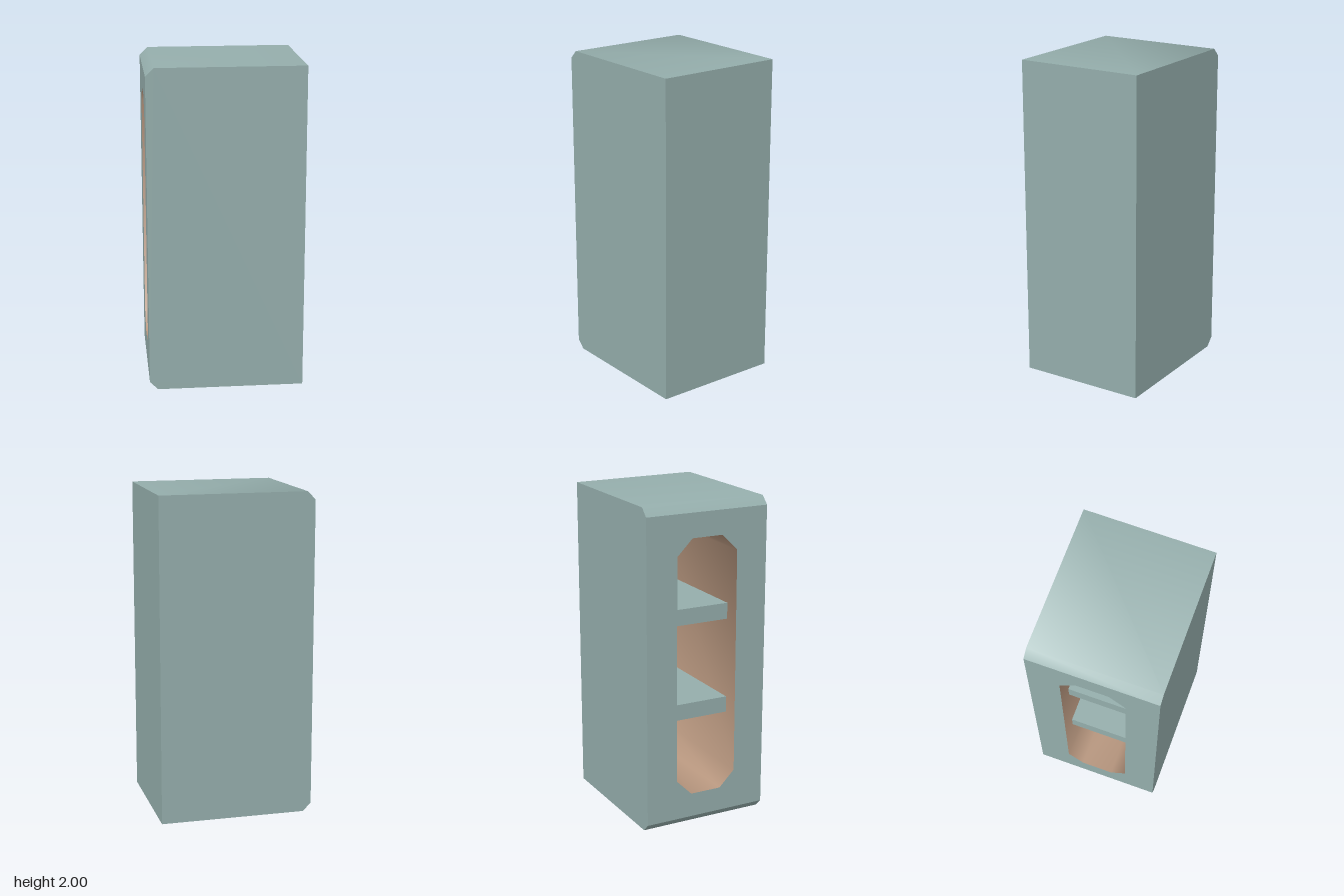
import * as THREE from 'three';
import { toCreasedNormals } from 'three/addons/utils/BufferGeometryUtils.js';

const LEFT = -0.475, RIGHT = 0.475, HEIGHT = 2, HALF_DEPTH = 0.4, BEVEL = 0.05;
const CAVITY_END = 0.375;

// Sweeps a row of 2D points between two depths; place(a, b, depth) gives the 3D point
function strip(points, place, from, to, closed) {
  const positions = [], count = closed ? points.length : points.length - 1;
  for (let i = 0; i < count; i++) {
    const [p, q] = [points[i], points[(i + 1) % points.length]];
    const corners = [place(...p, from), place(...q, from), place(...q, to), place(...p, to)];
    for (const k of [0, 1, 2, 0, 2, 3]) positions.push(...corners[k]);
  }
  const geometry = new THREE.BufferGeometry();
  geometry.setAttribute('position', new THREE.Float32BufferAttribute(positions, 3));
  return toCreasedNormals(geometry, Math.PI / 3);
}

const outline = (points) => points.map(([a, b]) => new THREE.Vector2(a, b));

export function createModel() {
  const group = new THREE.Group();
  const bodyColor = new THREE.MeshStandardMaterial({ name: 'greyTeal', color: 0x94adab });
  const liningColor = new THREE.MeshStandardMaterial({ name: 'warmTan', color: 0xb8977f });
  const add = (name, geometry, material) => {
    const mesh = new THREE.Mesh(geometry, material);
    mesh.name = name;
    group.add(mesh);
    return mesh;
  };

  // Cabinet outline seen from the front, bevelled on the open side only
  const profile = [
    [LEFT, BEVEL], [LEFT + BEVEL, 0], [RIGHT, 0],
    [RIGHT, HEIGHT], [LEFT + BEVEL, HEIGHT], [LEFT, HEIGHT - BEVEL],
  ];
  add('outerShell', strip(profile, (x, y, z) => [x, y, z], -HALF_DEPTH, HALF_DEPTH, false), bodyColor);

  // Front and back panels
  const panelShape = new THREE.Shape(outline(profile));
  add('frontPanel', new THREE.ShapeGeometry(panelShape).translate(0, 0, HALF_DEPTH), bodyColor);
  const back = new THREE.ShapeGeometry(new THREE.Shape(outline(profile.map(([x, y]) => [-x, y]))));
  add('backPanel', back.rotateY(Math.PI).translate(0, 0, -HALF_DEPTH), bodyColor);

  // Tall eight-sided opening, as (z, y)
  const opening = [
    [-0.1, 0.2], [0.1, 0.2], [0.2, 0.3], [0.2, 1.7],
    [0.1, 1.8], [-0.1, 1.8], [-0.2, 1.7], [-0.2, 0.3],
  ];

  // Side panel around the opening
  const sideShape = new THREE.Shape(outline([
    [-HALF_DEPTH, BEVEL], [HALF_DEPTH, BEVEL],
    [HALF_DEPTH, HEIGHT - BEVEL], [-HALF_DEPTH, HEIGHT - BEVEL],
  ]));
  sideShape.holes.push(new THREE.Path(outline(opening)));
  add('openSidePanel', new THREE.ShapeGeometry(sideShape).rotateY(-Math.PI / 2).translate(LEFT, 0, 0), bodyColor);

  // Cavity walls and end
  add('cavityLining', strip(opening, (z, y, x) => [x, y, z], LEFT, CAVITY_END, true), liningColor);
  const end = new THREE.ShapeGeometry(new THREE.Shape(outline(opening)));
  add('cavityEnd', end.rotateY(-Math.PI / 2).translate(CAVITY_END, 0, 0), liningColor);

  // Two shelves set back from the opening
  const shelfFront = -0.37, shelfLength = CAVITY_END + 0.01 - shelfFront;
  for (const y of [0.7, 1.3]) {
    const shelf = add('shelf', new THREE.BoxGeometry(shelfLength, 0.1, 0.41), bodyColor);
    shelf.position.set(shelfFront + shelfLength / 2, y, 0);
  }
  return group;
}
